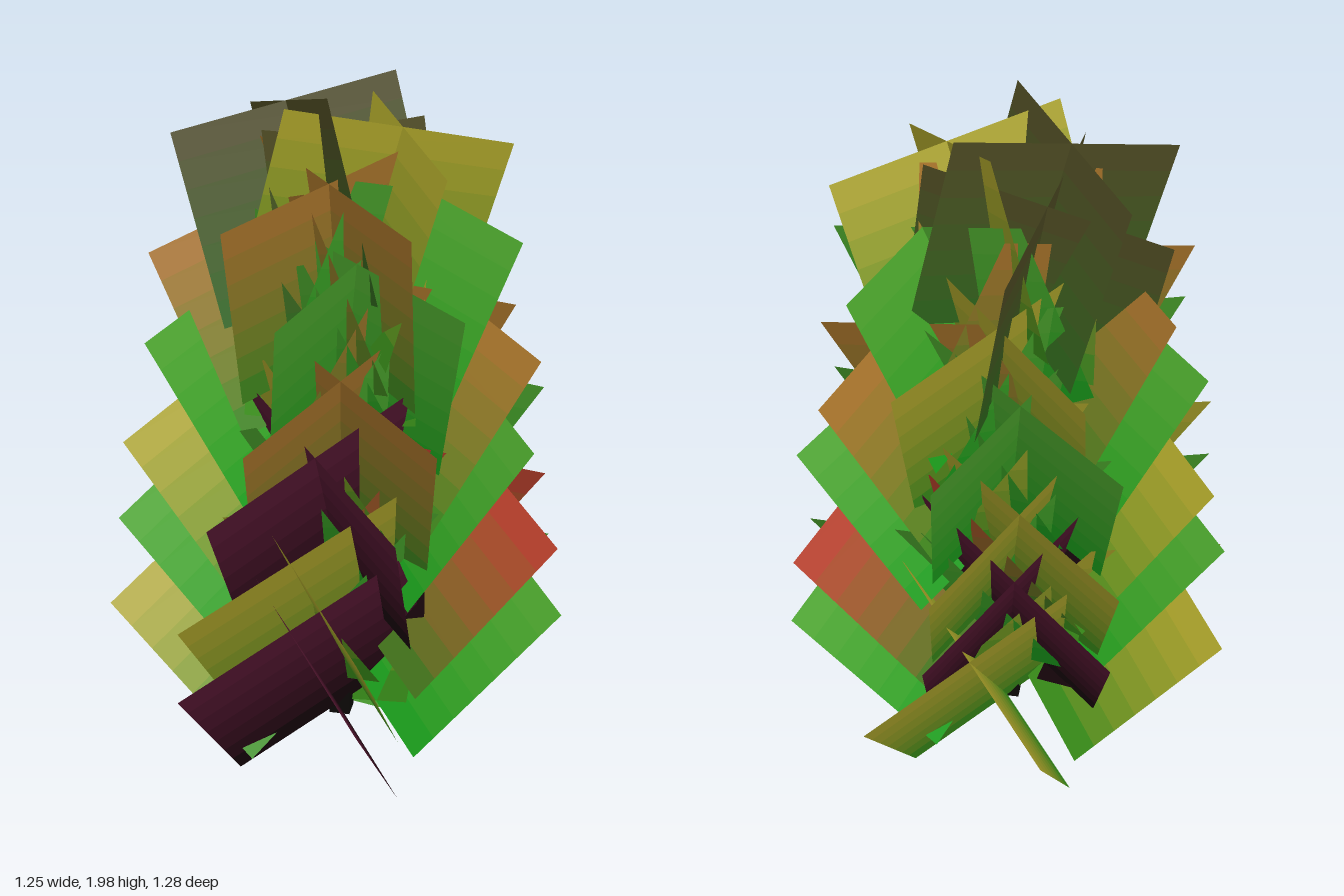
import * as THREE from 'three';

// Tip and root colours of each kind of leaf
const KINDS = {
  y: [0xb4a82c, 0x1c9018],
  g: [0x4fa82e, 0x12a01a],
  o: [0xb0742c, 0x2a8a1c],
  r: [0xc0382c, 0x2a7a1a],
  p: [0x5a1834, 0x050304],
  d: [0x524a24, 0x2c6a1c],
};
const ORDER = 'ypygyprgypygogogygogodyd';
// Opposite pairs, each pair a quarter turn on from the last
const CYCLE = [180, 0, 270, 90, 0, 180, 90, 270];
// Small irregularities of heading, in degrees
const JITTER = [-6, -6, 2, 9, -6, 10, 9, 7, 12, 2, 3, 2, 12, 13, 14, 10, 2, 21, -3, 18, 4, 36, -14, -11];
const BANDS = 7;

// A leaf: two square cards crossing along the midrib, banded from root to tip colour
function makeLeaf(width, length, kind) {
  const leaf = new THREE.Group();
  const [tip, root] = KINDS[kind].map((c) => new THREE.Color(c));
  const step = length / BANDS;
  for (let b = 0; b < BANDS; b++) {
    const material = new THREE.MeshStandardMaterial({
      color: root.clone().lerp(tip, (b + 0.5) / BANDS),
      side: THREE.DoubleSide,
    });
    for (const s of [-1, 1]) {
      const card = new THREE.Mesh(new THREE.PlaneGeometry(width, step), material);
      card.name = 'leafBand';
      card.position.y = (b + 0.5) * step;
      card.rotation.y = (s * Math.PI) / 4;
      leaf.add(card);
    }
  }
  return leaf;
}

export function createModel() {
  const model = new THREE.Group();
  model.name = 'leafyPlant';

  // Stem
  const stem = new THREE.Mesh(
    new THREE.BoxGeometry(0.06, 1.3, 0.06),
    new THREE.MeshStandardMaterial({ color: 0x0a0806 })
  );
  stem.name = 'stem';
  stem.position.y = 0.8;
  model.add(stem);

  // Leaves climb the stem, growing smaller and more upright; the second of each pair sits a little low
  const count = ORDER.length;
  for (let i = 0; i < count; i++) {
    const t = i / (count - 1);
    const heading = THREE.MathUtils.degToRad(CYCLE[i % 8] + JITTER[i]);
    const tilt = THREE.MathUtils.degToRad(40 - 25 * t ** 1.6);
    const height = Math.max(0.16, 0.145 + 0.057 * i - 0.015 * (i % 2));
    const out = 0.035 - 0.015 * t;
    const leaf = makeLeaf(0.68 - 0.06 * t, 0.62 - 0.11 * t ** 1.5, ORDER[i]);
    leaf.name = 'leaf';
    leaf.rotation.set(tilt, heading, 0, 'YXZ');
    leaf.position.set(out * Math.sin(heading), height, out * Math.cos(heading));
    model.add(leaf);
  }
  return model;
}
